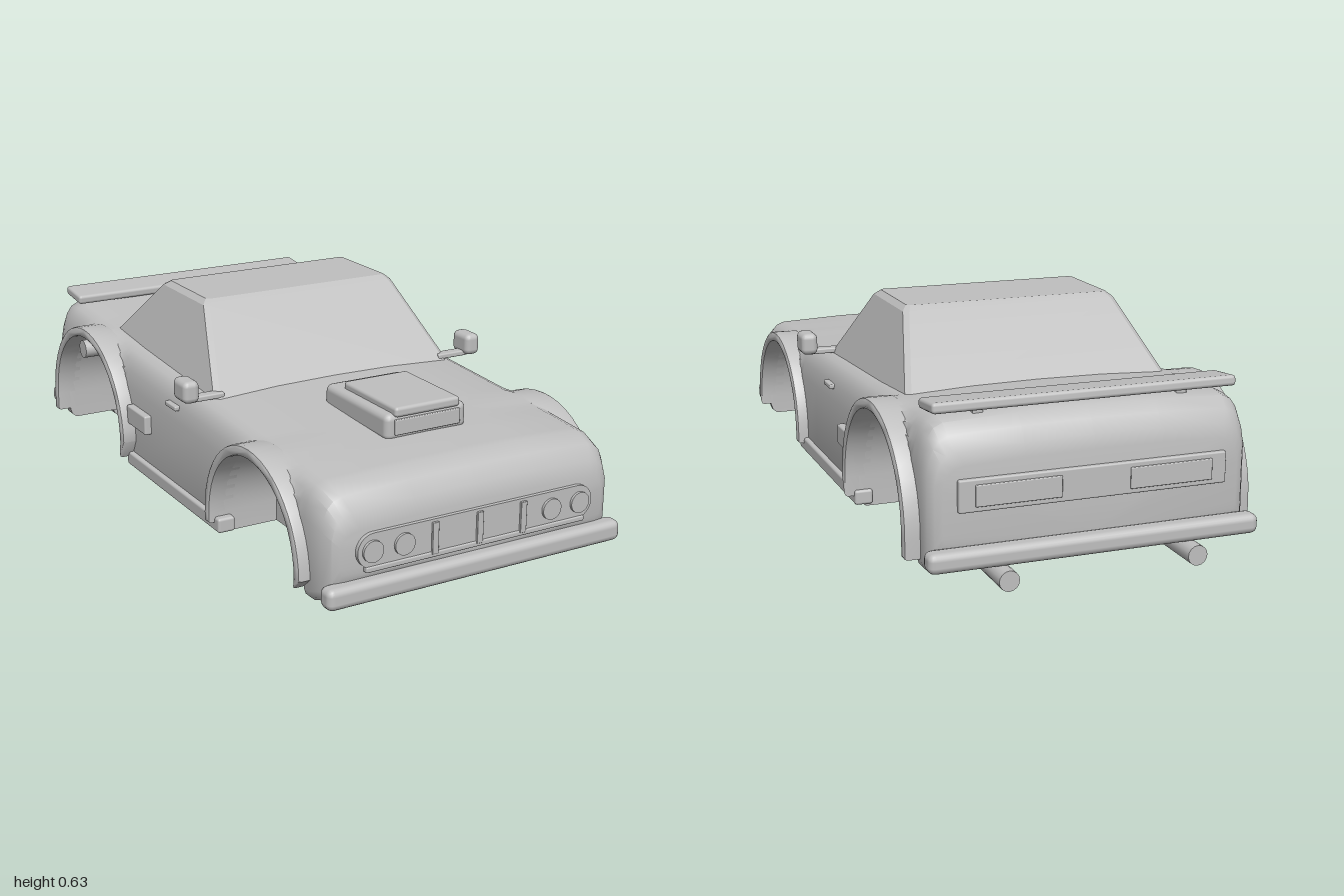
import * as THREE from 'three';
import { toCreasedNormals } from 'three/addons/utils/BufferGeometryUtils.js';
import { RoundedBoxGeometry } from 'three/addons/geometries/RoundedBoxGeometry.js';
import { ConvexGeometry } from 'three/addons/geometries/ConvexGeometry.js';

const FLOOR = 0.03;
const WELLS = [
  { name: 'front', z: 0.595, y: 0.095, r: 0.25, x: 0.46 },
  { name: 'rear', z: -0.55, y: 0.125, r: 0.27, x: 0.47 },
];

// body outline along z: [z, bottom, top, half width]
const OUTLINE = [
  [0.966, 0.12, 0.25, 0.43], [0.955, 0.085, 0.295, 0.45], [0.925, 0.05, 0.335, 0.464],
  [0.87, 0.03, 0.357, 0.47], [0.75, 0.03, 0.366, 0.47], [0.2, 0.03, 0.392, 0.47],
  [-0.3, 0.03, 0.412, 0.47], [-0.8, 0.03, 0.443, 0.47], [-0.86, 0.03, 0.435, 0.47],
  [-0.89, 0.055, 0.405, 0.464], [-0.91, 0.08, 0.365, 0.45], [-0.918, 0.11, 0.33, 0.43],
];

function outlineAt(z) {
  let i = 0;
  while (i < OUTLINE.length - 2 && OUTLINE[i + 1][0] > z) i++;
  const a = OUTLINE[i], b = OUTLINE[i + 1];
  const t = (z - a[0]) / (b[0] - a[0]);
  return a.map((v, k) => v + (b[k] - v) * t);
}

// one closed cross-section, with the wheel well cut up to height cut
function section(z, cut) {
  const [, bottom, top, w] = outlineAt(z);
  const y0 = Math.max(bottom, cut), h = top - bottom;
  const half = [
    [0, bottom], [0.28, bottom], [0.28, y0], [w - 0.02, y0], [w - 0.006, y0 + 0.012],
    [w, y0 + 0.03], [w, top - 0.3 * h], [w - 0.008, top - 0.17 * h],
    [w - 0.018, top - 0.09 * h], [w - 0.035, top - 0.03 * h], [w - 0.06, top], [0.2, top + 0.008],
  ];
  // keep the side wall above the well and below the top
  let last = 0;
  for (const p of half) {
    p[1] = Math.min(Math.max(p[1], last), top + 0.008);
    last = p[1];
  }
  const mirrored = half.slice(1).reverse().map(([x, y]) => [-x, y]);
  return [...half, [0, top + 0.01], ...mirrored].map(([x, y]) => new THREE.Vector3(x, y, z));
}

function bodyGeometry() {
  const stations = OUTLINE.map(([z]) => [z, 0])
    .filter(([z]) => !WELLS.some((w) => Math.abs(z - w.z) <= w.r));
  for (const w of WELLS) {
    stations.push([w.z + w.r, 0]);
    for (let i = 0; i <= 20; i++) {
      const a = (i / 20) * Math.PI;
      stations.push([w.z + w.r * Math.cos(a), w.y + w.r * Math.sin(a)]);
    }
    stations.push([w.z - w.r, 0]);
  }
  stations.sort((a, b) => (Math.abs(b[0] - a[0]) < 1e-9 ? 0 : b[0] - a[0]));
  const rings = stations.map(([z, cut]) => section(z, cut));
  const pos = [];
  const tri = (a, b, c) => {
    const area = b.clone().sub(a).cross(c.clone().sub(a)).length();
    if (area > 1e-9) for (const p of [a, b, c]) pos.push(p.x, p.y, p.z);
  };
  const n = rings[0].length;
  for (let i = 0; i < rings.length - 1; i++) {
    for (let j = 0; j < n; j++) {
      const k = (j + 1) % n, f = rings[i], b = rings[i + 1];
      tri(f[j], b[j], b[k]);
      tri(f[j], b[k], f[k]);
    }
  }
  const front = rings[0], back = rings[rings.length - 1];
  for (let j = 1; j < n - 1; j++) {
    tri(front[0], front[j], front[j + 1]);
    tri(back[0], back[j + 1], back[j]);
  }
  const g = new THREE.BufferGeometry();
  g.setAttribute('position', new THREE.Float32BufferAttribute(pos, 3));
  return toCreasedNormals(g, 0.7);
}

// tapered cabin with softened corners
function cabinGeometry() {
  const points = [];
  const ring = (y, x, zf, zb, c) => {
    for (const s of [-1, 1]) {
      points.push(new THREE.Vector3(s * (x - c), y, zf), new THREE.Vector3(s * x, y, zf - c));
      points.push(new THREE.Vector3(s * (x - c), y, zb), new THREE.Vector3(s * x, y, zb + c));
    }
  };
  ring(0.36, 0.423, 0.25, -0.605, 0.015);
  ring(0.615, 0.335, 0.003, -0.315, 0.015);
  ring(0.63, 0.318, -0.02, -0.288, 0.01);
  return toCreasedNormals(new ConvexGeometry(points), 0.3);
}

// wheel arch band, standing in the y-z plane
function archGeometry({ y, r }) {
  const R = r + 0.032, foot = 0.065 - y;
  const s = new THREE.Shape();
  s.moveTo(R, foot);
  s.absarc(0, 0, R, 0, Math.PI, false);
  s.lineTo(-R, foot);
  s.lineTo(-r, foot);
  s.absarc(0, 0, r, Math.PI, 0, true);
  s.lineTo(r, foot);
  const g = new THREE.ExtrudeGeometry(s, {
    depth: 0.07, curveSegments: 12, bevelSize: 0.008, bevelOffset: -0.008,
    bevelThickness: 0.01, bevelSegments: 2,
  });
  g.translate(0, 0, -0.035).rotateY(-Math.PI / 2);
  return toCreasedNormals(g, 0.6);
}

export function createModel() {
  const car = new THREE.Group();
  car.name = 'carBody';
  const paint = new THREE.MeshStandardMaterial({ color: 0xbfbfbf });
  paint.name = 'plain grey';

  const add = (name, geometry, x = 0, y = 0, z = 0) => {
    const m = new THREE.Mesh(geometry, paint);
    m.name = name;
    m.position.set(x, y, z);
    car.add(m);
    return m;
  };
  // rounded box given by its limits
  const box = (name, x0, x1, y0, y1, z0, z1, r = 0.005) =>
    add(name, new RoundedBoxGeometry(x1 - x0, y1 - y0, z1 - z0, 2, r),
      (x0 + x1) / 2, (y0 + y1) / 2, (z0 + z1) / 2);
  // the same box on both sides
  const pair = (name, x0, x1, ...rest) => {
    box(name + 'Left', x0, x1, ...rest);
    box(name + 'Right', -x1, -x0, ...rest);
  };
  const disc = (r, depth, sides = 24) => new THREE.CylinderGeometry(r, r, depth, sides);

  add('body', bodyGeometry());
  add('cabin', cabinGeometry());

  // bonnet scoop
  box('scoop', -0.135, 0.135, 0.365, 0.445, 0.375, 0.715, 0.02);
  box('scoopLid', -0.108, 0.108, 0.435, 0.465, 0.44, 0.72, 0.01);
  box('scoopMouth', -0.108, 0.108, 0.385, 0.43, 0.7, 0.722, 0.003);

  // bumpers and sills
  box('frontBumper', -0.483, 0.483, 0.05, 0.112, 0.943, 1, 0.02);
  box('rearBumper', -0.483, 0.483, 0.055, 0.112, -0.965, -0.905, 0.02);
  pair('sill', 0.43, 0.485, 0.037, 0.082, -0.29, 0.37, 0.008);

  // front grille with lamps and bars
  const grille = new THREE.Shape();
  grille.absarc(0.335, 0, 0.05, -Math.PI / 2, Math.PI / 2, false);
  grille.absarc(-0.335, 0, 0.05, Math.PI / 2, Math.PI * 1.5, false);
  add('grille', new THREE.ExtrudeGeometry(grille, { depth: 0.025, bevelEnabled: false }), 0, 0.19, 0.953);
  box('grilleLip', -0.36, 0.36, 0.13, 0.147, 0.95, 0.982);
  for (const x of [-0.145, 0, 0.145]) box('grilleBar', x - 0.01, x + 0.01, 0.14, 0.232, 0.96, 0.985, 0.002);
  for (const x of [-0.34, -0.242, 0.242, 0.34]) {
    add('headlamp', disc(0.031, 0.03), x, 0.19, 0.971).rotation.x = Math.PI / 2;
  }

  // rear panel and lamps
  box('rearPanel', -0.39, 0.39, 0.205, 0.295, -0.932, -0.9);
  pair('tailLamp', 0.1, 0.345, 0.22, 0.28, -0.938, -0.91, 0.003);

  // spoiler, tilted up at the back
  for (const x of [-0.3, 0.3]) box('spoilerPost', x - 0.015, x + 0.015, 0.42, 0.47, -0.83, -0.8, 0.003);
  box('spoiler', -0.443, 0.443, 0.457, 0.487, -0.878, -0.758, 0.01).rotation.x = 0.1;

  // side details
  pair('mirror', 0.47, 0.522, 0.397, 0.465, 0.152, 0.238, 0.018);
  pair('mirrorArm', 0.38, 0.49, 0.393, 0.41, 0.18, 0.215);
  pair('doorHandle', 0.45, 0.478, 0.322, 0.337, 0.0, 0.072, 0.004);
  pair('sideVent', 0.45, 0.492, 0.185, 0.247, -0.265, -0.125, 0.006);
  add('fuelCap', disc(0.03, 0.05), -0.452, 0.325, -0.66).rotation.z = Math.PI / 2;

  for (const s of [-1, 1]) {
    const side = s > 0 ? 'Left' : 'Right';
    for (const w of WELLS) add(w.name + 'Arch' + side, archGeometry(w), s * w.x, w.y, w.z);
    add('exhaust' + side, disc(0.029, 0.17, 16), s * 0.275, 0.03, -0.915).rotation.x = Math.PI / 2;
  }
  return car;
}
